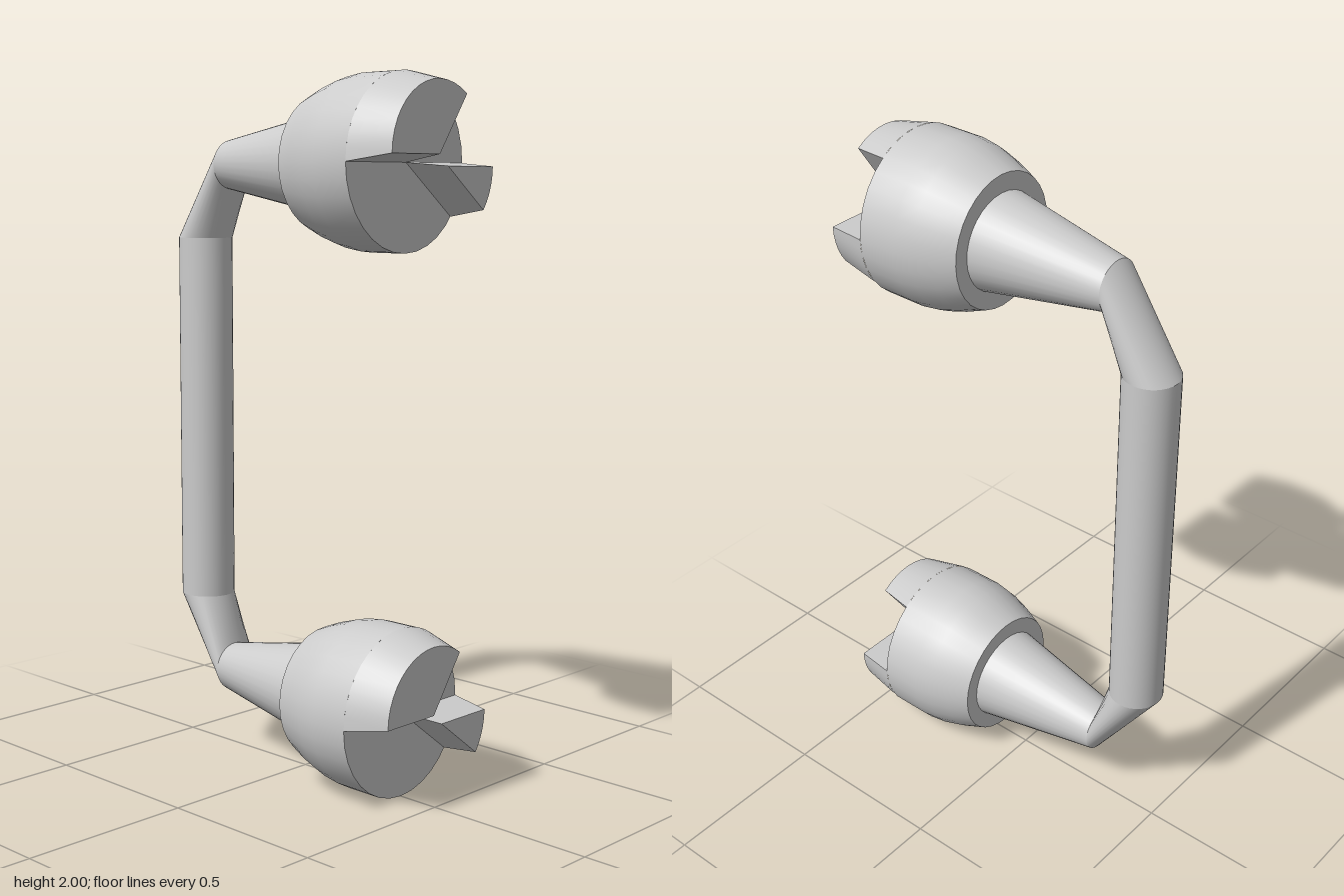
import * as THREE from 'three';
import { toCreasedNormals } from 'three/addons/utils/BufferGeometryUtils.js';

const material = new THREE.MeshStandardMaterial({ color: 0xcccccc });
const SIDES = 32;
const AXIS_Y = [0.243, 1.757];
const Z_SQUASH = 0.97;

// Skin between two closed rings, with an optional fan over the second one
function loft(a, b, cap = false) {
  const n = a.length, index = [];
  for (let i = 0; i < n; i++) {
    const j = (i + 1) % n;
    index.push(i, j, n + j, i, n + j, n + i);
    if (cap && i > 0 && j > 0) index.push(n, n + i, n + j);
  }
  const g = new THREE.BufferGeometry().setFromPoints([...a, ...b]);
  g.setIndex(index);
  g.computeVertexNormals();
  return g;
}

// Circle spanned by the in-plane direction (ux, uy) and z
function ring(x, y, ux, uy, r, rz = r) {
  return Array.from({ length: SIDES }, (_, i) => {
    const t = (i / SIDES) * Math.PI * 2;
    const c = r * Math.cos(t);
    return new THREE.Vector3(x + ux * c, y + uy * c, rz * Math.sin(t));
  });
}

function add(parent, name, geometry) {
  const mesh = new THREE.Mesh(geometry, material);
  mesh.name = name;
  parent.add(mesh);
}

// Pie-slice outline facing +x, scaled and shifted for the tapered tip
function sector(x, from, to, scale, dy, dz) {
  const steps = Math.ceil((to - from) / 9);
  const pts = [new THREE.Vector3(x, dy, dz)];
  for (let i = 0; i <= steps; i++) {
    const t = THREE.MathUtils.degToRad(from + ((to - from) * i) / steps);
    const r = 0.242 * scale;
    pts.push(new THREE.Vector3(x, r * Math.sin(t) + dy, -r * Z_SQUASH * Math.cos(t) + dz));
  }
  return pts;
}

function jaw(from, to, dy, dz) {
  const g = loft(sector(0.375, from, to, 1, 0, 0), sector(0.5, from, to, 0.8, dy, dz), true);
  return toCreasedNormals(g, 0.4);
}

function createHead() {
  const head = new THREE.Group();
  // Barrel-shaped body with flat ends
  const profile = [[0, 0.08], [0.192, 0.08], [0.216, 0.14], [0.234, 0.2], [0.242, 0.255], [0.242, 0.375], [0, 0.375]]
    .map(([r, x]) => new THREE.Vector2(r, x));
  const body = new THREE.LatheGeometry(profile, SIDES).rotateZ(-Math.PI / 2).scale(1, 1, Z_SQUASH);
  add(head, 'headBody', toCreasedNormals(body, 0.6));
  // Two interlocking jaws on the front face
  add(head, 'wideJaw', jaw(55, 180, 0.02, 0.008));
  add(head, 'narrowJaw', jaw(-37, 0, -0.01, -0.025));
  return head;
}

export function createModel() {
  const model = new THREE.Group();
  const [low, high] = AXIS_Y;

  // Handle: neck, elbow, grip, elbow, neck
  const rings = [
    ring(0.08, low, 0, -1, 0.14, 0.143),
    ring(-0.3, low, 0, -1, 0.072, 0.076),
    ring(-0.42, 0.457, -1, 0, 0.08),
    ring(-0.42, 1.543, -1, 0, 0.08),
    ring(-0.3, high, 0, 1, 0.072, 0.076),
    ring(0.08, high, 0, 1, 0.14, 0.143),
  ];
  ['lowerNeck', 'lowerElbow', 'grip', 'upperElbow', 'upperNeck'].forEach((name, i) => {
    add(model, name, loft(rings[i], rings[i + 1]));
  });

  // Same head at both ends
  ['lowerHead', 'upperHead'].forEach((name, i) => {
    const head = createHead();
    head.name = name;
    head.position.y = AXIS_Y[i];
    model.add(head);
  });
  return model;
}
